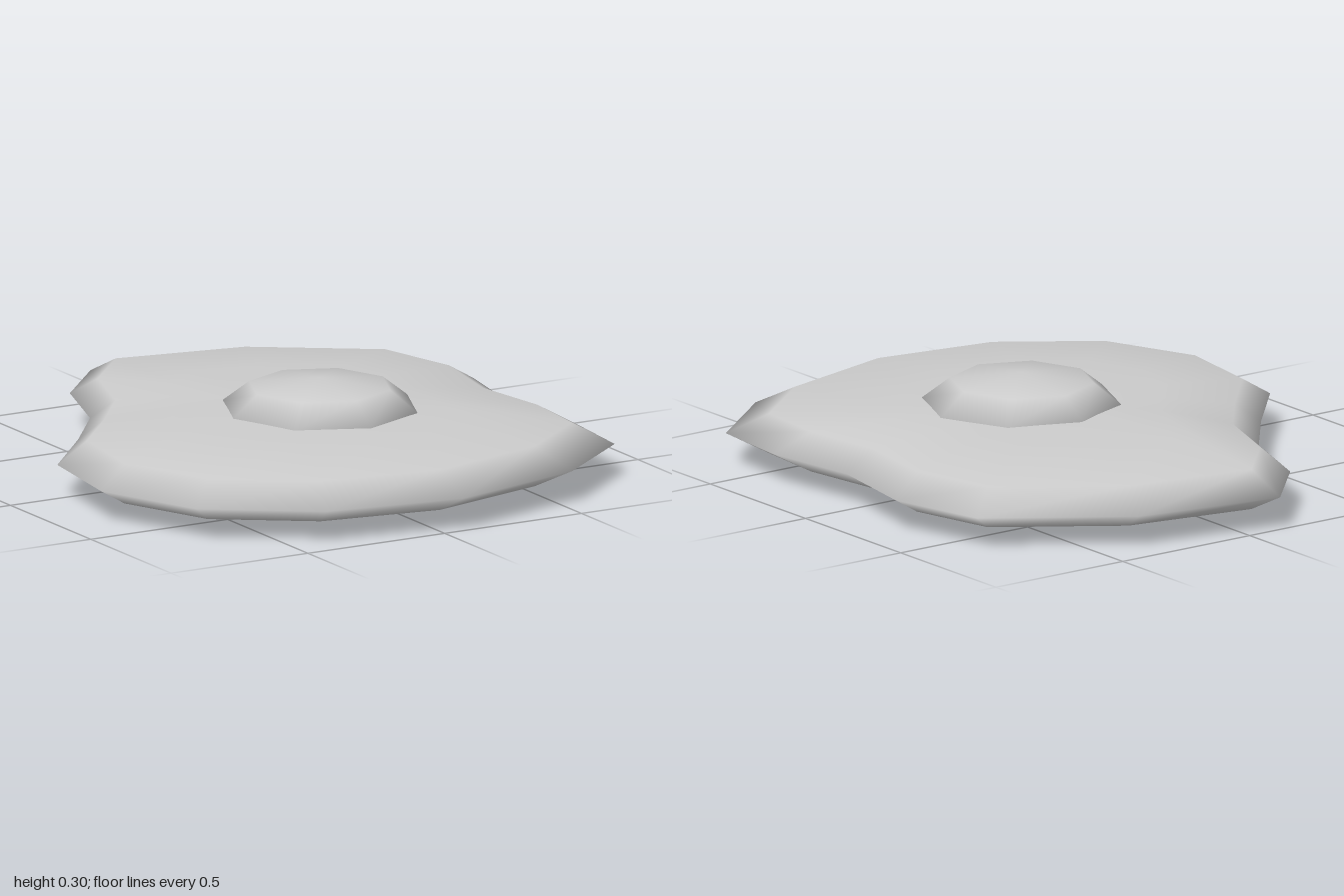
import * as THREE from 'three';

// Closed smooth skin: an outline scaled and lifted by a [scale, y] profile, bottom to top,
// capped with a single vertex at each end.
function loft(outline, profile, bottomY, topY) {
  const n = outline.length;
  const pos = [];
  const index = [];
  for (const [s, y] of profile) for (const [x, z] of outline) pos.push(x * s, y, z * s);
  const bottom = n * profile.length;
  const top = bottom + 1;
  pos.push(0, bottomY, 0, 0, topY, 0);
  const last = (profile.length - 1) * n;
  for (let j = 0; j < n; j++) {
    const k = (j + 1) % n;
    for (let r = 0; r < last; r += n) {
      index.push(r + j, r + n + j, r + k, r + k, r + n + j, r + n + k);
    }
    index.push(bottom, j, k, top, last + k, last + j);
  }
  const geometry = new THREE.BufferGeometry();
  geometry.setAttribute('position', new THREE.Float32BufferAttribute(pos, 3));
  geometry.setIndex(index);
  geometry.computeVertexNormals();
  return geometry;
}

export function createModel() {
  const group = new THREE.Group();
  group.name = 'friedEgg';
  const material = new THREE.MeshStandardMaterial({ color: 0xcccccc });

  // Egg white: irregular flat puddle with a pointed rim, clockwise from the back
  const rim = [
    [-0.12, -1.0], [0.37, -0.91], [0.79, -0.62], [0.87, -0.3],
    [0.81, 0.04], [0.855, 0.36], [0.83, 0.645], [0.54, 0.875],
    [0.07, 1.0], [-0.39, 0.925], [-0.725, 0.69], [-0.87, 0.34],
    [-0.82, -0.015], [-0.6, -0.26], [-0.43, -0.475], [-0.325, -0.78],
  ];
  const whiteProfile = [[0.5, 0.01], [0.87, 0.04], [1, 0.105], [0.87, 0.17], [0.5, 0.203]];
  const white = new THREE.Mesh(loft(rim, whiteProfile, 0, 0.21), material);
  white.name = 'eggWhite';
  group.add(white);

  // Yolk: low eight-sided dome, set off centre
  const octagon = Array.from({ length: 8 }, (_, i) => {
    const a = (i * Math.PI) / 4;
    return [Math.sin(a), -Math.cos(a)];
  });
  const yolkProfile = [[0.23, 0.13], [0.32, 0.203], [0.23, 0.273]];
  const yolk = new THREE.Mesh(loft(octagon, yolkProfile, 0.11, 0.3), material);
  yolk.name = 'yolk';
  yolk.position.set(0.072, 0, 0.1);
  group.add(yolk);

  return group;
}
